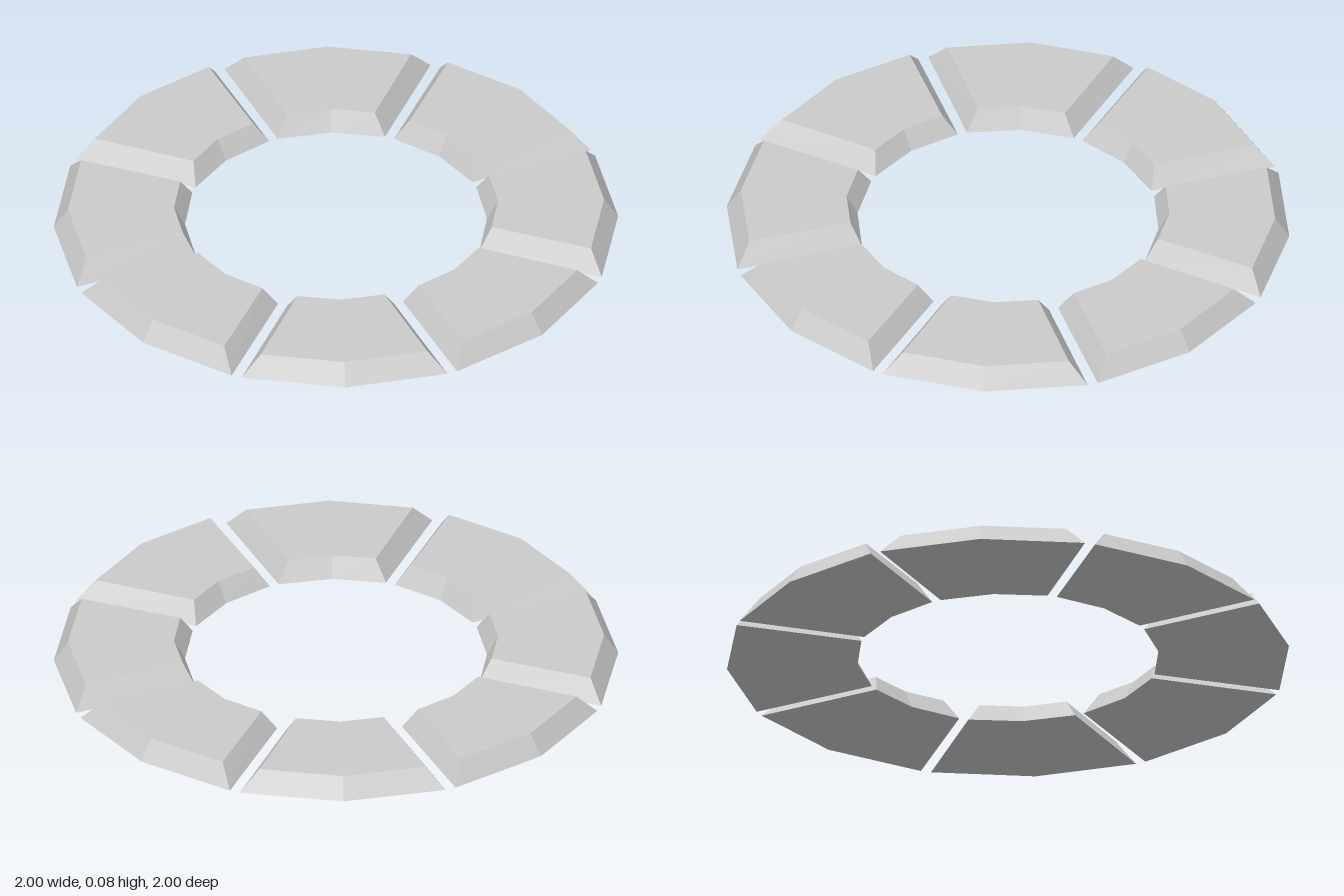
import * as THREE from 'three';

const HEIGHT = 0.075;
const COUNT = 8;

// Six-sided outline: outer edge left to right, then inner edge back (x, z)
const outline = (outerX, outerZ, outerMid, innerX, innerZ, innerMid, y) => [
  [-outerX, outerZ], [0, outerMid], [outerX, outerZ],
  [innerX, innerZ], [0, innerMid], [-innerX, innerZ],
].map(([x, z]) => [x, y, z]);

// One bevelled stone: wide base outline joined to a narrower top outline
function stoneGeometry() {
  const base = outline(0.365, 0.93, 1.0, 0.19, 0.503, 0.535, 0);
  const top = outline(0.295, 0.894, 0.95, 0.155, 0.547, 0.574, HEIGHT);
  const positions = [];
  const quad = (a, b, c, d) => positions.push(...a, ...b, ...c, ...a, ...c, ...d);

  // Sloping sides
  for (let i = 0; i < 6; i++) {
    const j = (i + 1) % 6;
    quad(base[i], base[j], top[j], top[i]);
  }
  // Top and underside, each in two halves
  for (const [a, b, c, d] of [[0, 1, 4, 5], [1, 2, 3, 4]]) {
    quad(top[a], top[b], top[c], top[d]);
    quad(base[d], base[c], base[b], base[a]);
  }

  const geometry = new THREE.BufferGeometry();
  geometry.setAttribute('position', new THREE.Float32BufferAttribute(positions, 3));
  geometry.computeVertexNormals();
  return geometry;
}

export function createModel() {
  const model = new THREE.Group();
  model.name = 'stoneRing';
  const geometry = stoneGeometry();
  const material = new THREE.MeshStandardMaterial({ color: 0xcccccc, flatShading: true });

  // Eight equal stones around the centre
  for (let i = 0; i < COUNT; i++) {
    const stone = new THREE.Mesh(geometry, material);
    stone.name = `ringStone${i + 1}`;
    stone.rotation.y = (i / COUNT) * Math.PI * 2;
    model.add(stone);
  }
  return model;
}
